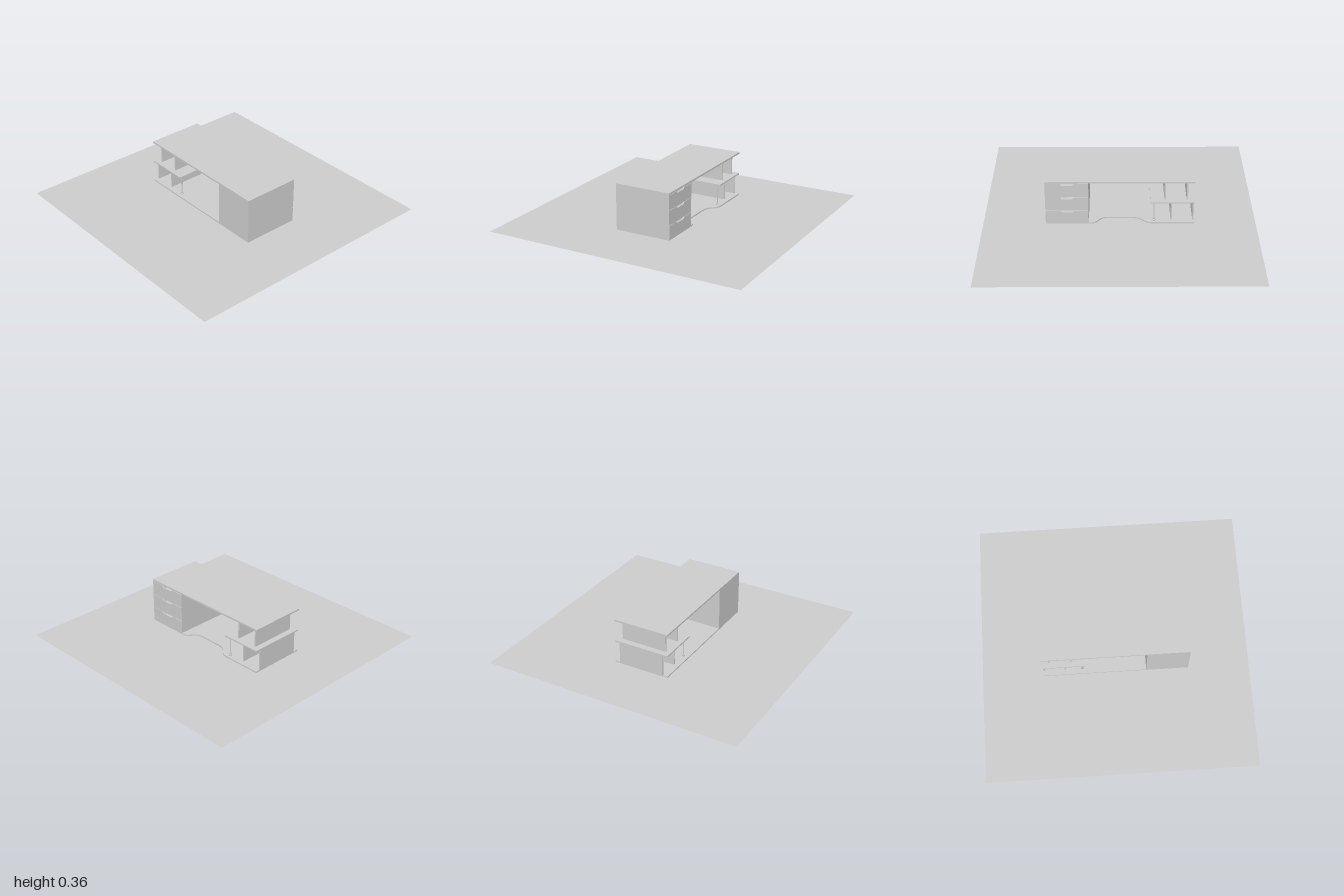
import * as THREE from 'three';

const grey = new THREE.MeshStandardMaterial({ color: 0xcccccc });
const greyDouble = new THREE.MeshStandardMaterial({ color: 0xcccccc, side: THREE.DoubleSide });

// Box given by its extents along each axis
function slab(parent, name, x0, x1, y0, y1, z0, z1) {
  const m = new THREE.Mesh(new THREE.BoxGeometry(x1 - x0, y1 - y0, z1 - z0), grey);
  m.position.set((x0 + x1) / 2, (y0 + y1) / 2, (z0 + z1) / 2);
  m.name = name;
  parent.add(m);
  return m;
}

export function createModel() {
  const model = new THREE.Group();
  model.name = 'desk';
  const L = -0.545, R = 0.54, D = 0.217; // desk ends and half depth
  const Y0 = 0.01, BASE = 0.02, SHELF = 0.18, TOP = 0.347, H = 0.36;
  const CX = 0.225; // inner side of the cabinet

  // Floor
  const floor = new THREE.Mesh(new THREE.PlaneGeometry(2, 2), greyDouble);
  floor.rotation.x = -Math.PI / 2;
  floor.name = 'floor';
  model.add(floor);

  // Table top and middle shelf
  slab(model, 'tableTop', L, R, TOP, H, -D, D);
  slab(model, 'middleShelf', L, -0.225, SHELF, SHELF + 0.01, -D, D);

  // Base board with a curved foot recess; shape y is -z
  const base = new THREE.Shape();
  base.moveTo(L, -D);
  base.lineTo(CX, -D);
  base.lineTo(CX, D);
  base.lineTo(0.21, D);
  base.bezierCurveTo(0.15, D, 0.16, 0.142, 0.09, 0.142);
  base.lineTo(-0.08, 0.142);
  base.bezierCurveTo(-0.19, 0.142, -0.16, D, -0.25, D);
  base.lineTo(L, D);
  base.closePath();
  const baseGeo = new THREE.ExtrudeGeometry(base, { depth: BASE - Y0, bevelEnabled: false, curveSegments: 16 });
  baseGeo.rotateX(-Math.PI / 2).translate(0, Y0, 0);
  const baseBoard = new THREE.Mesh(baseGeo, grey);
  baseBoard.name = 'baseBoard';
  model.add(baseBoard);

  // Upright shelf dividers
  const dividers = new THREE.Group();
  dividers.name = 'shelfDividers';
  for (const x of [-0.54, -0.38]) slab(dividers, 'lowerDivider', x - 0.005, x + 0.005, BASE, SHELF, -0.178, 0.178);
  for (const x of [-0.494, -0.332]) slab(dividers, 'upperDivider', x - 0.005, x + 0.005, SHELF + 0.01, TOP, -0.178, 0.178);
  model.add(dividers);

  // Turned posts with flanges at both ends
  const h = SHELF - BASE;
  const profile = [[0, 0], [0.011, 0], [0.011, 0.004], [0.004, 0.007], [0.004, h - 0.007],
    [0.011, h - 0.004], [0.011, h], [0, h]].map(([x, y]) => new THREE.Vector2(x, y));
  const postGeo = new THREE.LatheGeometry(profile, 20);
  for (const z of [-0.18, 0.18]) {
    const post = new THREE.Mesh(postGeo, grey);
    post.position.set(-0.253, BASE, z);
    post.name = 'shelfPost';
    model.add(post);
  }

  // Cabinet carcass, open towards the drawers
  const cabinet = new THREE.Group();
  cabinet.name = 'cabinet';
  const t = 0.01, back = -D + t;
  slab(cabinet, 'innerSide', CX, CX + t, Y0, TOP, back, D);
  slab(cabinet, 'outerSide', R - t, R, Y0, TOP, back, D);
  slab(cabinet, 'frontPanel', CX + t, R - t, Y0, TOP, D - t, D);
  slab(cabinet, 'cabinetBottom', CX + t, R - t, Y0, BASE, back, D - t);

  // Drawer fronts with a finger notch in the top edge
  const pitch = (TOP - Y0) / 3, w = (R - CX) / 2, dh = pitch - 0.003;
  const front = new THREE.Shape();
  [[-w, 0], [w, 0], [w, dh], [0.055, dh], [0.042, dh - 0.014], [-0.042, dh - 0.014], [-0.055, dh], [-w, dh]]
    .forEach(([x, y], i) => (i ? front.lineTo(x, y) : front.moveTo(x, y)));
  front.closePath();
  const frontGeo = new THREE.ExtrudeGeometry(front, { depth: t, bevelEnabled: false });
  for (let i = 0; i < 3; i++) {
    const y = Y0 + i * pitch;
    const drawer = new THREE.Group();
    drawer.name = 'drawer';
    const face = new THREE.Mesh(frontGeo, grey);
    face.position.set((CX + R) / 2, y, -D);
    face.name = 'drawerFront';
    drawer.add(face);
    // Drawer tray
    const a = CX + 0.015, b = R - 0.015, lo = y + 0.014, hi = y + pitch - 0.03;
    slab(drawer, 'trayBottom', a, b, lo, lo + 0.006, back, D - 0.02);
    slab(drawer, 'traySide', a, a + 0.006, lo, hi, back, D - 0.02);
    slab(drawer, 'traySide', b - 0.006, b, lo, hi, back, D - 0.02);
    slab(drawer, 'trayEnd', a, b, lo, hi, D - 0.026, D - 0.02);
    cabinet.add(drawer);
  }
  model.add(cabinet);

  return model;
}
